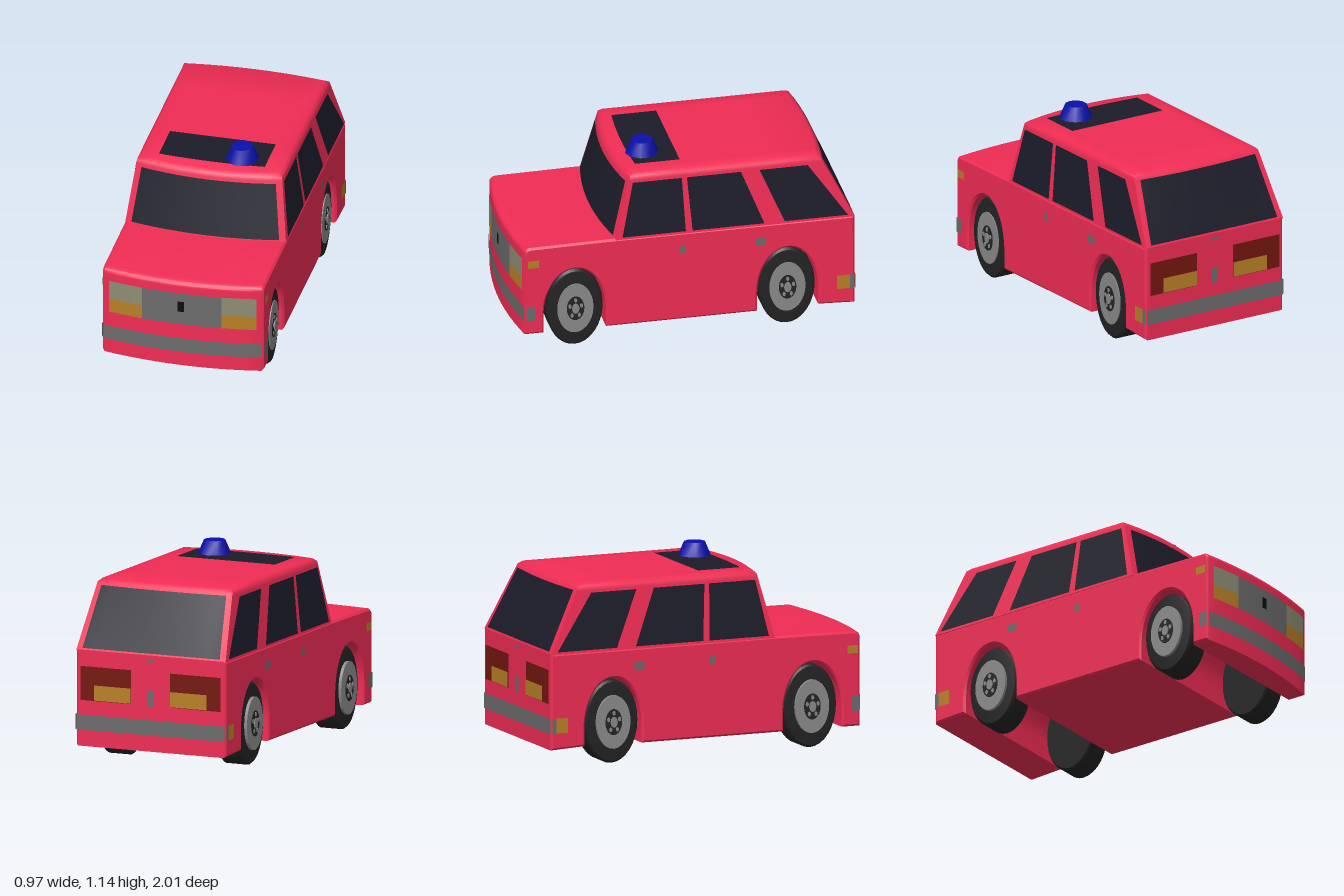
import * as THREE from 'three';
import { toCreasedNormals } from 'three/addons/utils/BufferGeometryUtils.js';

const mat = (color) => new THREE.MeshStandardMaterial({ color, side: THREE.DoubleSide });
const RED = mat(0xf02c54), GLASS = mat(0x1c1c2a), GREY = mat(0x6c6c6c), LAMP = mat(0x8d8d74);
const ORANGE = mat(0xb88026), TAIL = mat(0x74180e), BLACK = mat(0x0c0c0c), TYRE = mat(0x232323);
const RIM = mat(0x8a8a8a), BLUE = mat(0x0c10a8);

const W = 0.48, BASE = 0.665, ROOF = 1.06, LIFT = 0.004;

// Cabin surface rules; t runs from the waistline (0) to the roof (1), n across from -1 to 1
const level = (y) => (y - BASE) / (ROOF - BASE);
const halfWidth = (t) => 0.479 - 0.049 * t;
const frontZ = (n, t) => 0.47 - 0.1 * t - 0.055 * n * n;
const rearZ = (n, t) => -1 + 0.17 * t + 0.03 * t * n * n;
const noseZ = (x) => 1 - 0.05 * (x / W) ** 2;

// Mappings from flat panel coordinates to the outer surfaces
const onNose = (x, y) => [x, y, noseZ(x) + LIFT];
const onTail = (x, y) => [x, y, -1 - LIFT];
const onFlank = (s) => (z, y) => [s * (W + LIFT), y, z];
const onCabinSide = (s) => (z, y) => [s * (halfWidth(level(y)) + LIFT), y, z];
const onScreen = (x, y) => [x, y, frontZ(x / halfWidth(level(y)), level(y)) + LIFT];
const onRearScreen = (x, y) => [x, y, rearZ(x / halfWidth(level(y)), level(y)) - LIFT];
const onRoof = (x, z) => [x, ROOF + LIFT, z - 0.15 * x * x * (z > 0.1 ? 1 : 0)];

function add(parent, name, geometry, material) {
  const mesh = new THREE.Mesh(geometry, material);
  mesh.name = name;
  parent.add(mesh);
  return mesh;
}

// Thin panel: corners are bottom-left, bottom-right, top-right, top-left
function panel(parent, name, material, corners, map, lift = 0) {
  const [a, b, c, d] = corners;
  const g = new THREE.PlaneGeometry(1, 1, 12, 1);
  const p = g.attributes.position;
  for (let i = 0; i < p.count; i++) {
    const u = p.getX(i) + 0.5, v = p.getY(i) + 0.5;
    const at = (k) => (1 - v) * ((1 - u) * a[k] + u * b[k]) + v * ((1 - u) * d[k] + u * c[k]);
    const q = map(at(0), at(1));
    p.setXYZ(i, q[0], q[1], q[2] + lift);
  }
  g.computeVertexNormals();
  return add(parent, name, g, material);
}
const rect = (x0, x1, y0, y1) => [[x0, y0], [x1, y0], [x1, y1], [x0, y1]];

// Lower body: side profile with wheel arches, extruded across and bowed at the nose
function bodyGeometry() {
  const s = new THREE.Shape();
  s.moveTo(-1, 0.105);
  s.lineTo(-0.785, 0.115);
  s.absellipse(-0.605, 0.22, 0.18, 0.285, Math.PI, 0, true);
  s.lineTo(-0.425, 0.11);
  s.lineTo(0.47, 0.11);
  s.absellipse(0.655, 0.22, 0.185, 0.285, Math.PI, 0, true);
  s.lineTo(0.84, 0.11);
  s.lineTo(1, 0.11);
  s.lineTo(1, 0.63);
  s.quadraticCurveTo(1, 0.663, 0.95, 0.667);
  s.lineTo(0.47, 0.672);
  s.lineTo(-1, 0.67);
  const bevel = 0.012, depth = 2 * (W - bevel);
  const g = new THREE.ExtrudeGeometry(s, {
    depth, steps: 12, curveSegments: 14,
    bevelThickness: bevel, bevelSize: bevel, bevelOffset: -bevel, bevelSegments: 1,
  });
  g.translate(0, 0, -depth / 2).rotateY(-Math.PI / 2);
  const p = g.attributes.position;
  for (let i = 0; i < p.count; i++) {
    const z = p.getZ(i), k = THREE.MathUtils.clamp((z - 0.84) / 0.16, 0, 1);
    p.setZ(i, z + k * (noseZ(p.getX(i)) - 1));
  }
  return toCreasedNormals(g, 0.6);
}

// Cabin: tapering box with bowed ends and a chamfered roof edge
function cabinGeometry() {
  const g = new THREE.BoxGeometry(2, 3, 2, 12, 3, 4);
  const p = g.attributes.position, rows = [0, 0.9, 0.955, 1];
  for (let i = 0; i < p.count; i++) {
    const n = p.getX(i), t = rows[Math.round(p.getY(i) + 1.5)], w = (p.getZ(i) + 1) / 2;
    const inset = t === 1 ? 0.018 : 0;
    p.setXYZ(i, n * (halfWidth(t) - inset), BASE + t * (ROOF - BASE),
      THREE.MathUtils.lerp(rearZ(n, t) + inset, frontZ(n, t) - inset, w));
  }
  return toCreasedNormals(g, 0.9);
}

// Wheel: oval tyre with stacked rim and hub discs, outer face towards +x
function wheel(hubOut) {
  const group = new THREE.Group();
  group.name = 'wheel';
  const tyre = [[0, -0.08], [0.235, -0.08], [0.245, -0.07], [0.245, 0.06], [0.232, 0.075], [0.16, 0.08], [0, 0.08]]
    .map(([r, y]) => new THREE.Vector2(r, y));
  add(group, 'tyre', toCreasedNormals(new THREE.LatheGeometry(tyre, 32).rotateZ(-Math.PI / 2), 0.6), TYRE);
  const disc = (name, r, out, m, sides = 28) => add(group, name,
    new THREE.CylinderGeometry(r, r, 0.04, sides).rotateZ(-Math.PI / 2).translate(0.06 + out + hubOut, 0, 0), m);
  disc('rim', 0.157, 0.006, RIM);
  disc('hubPlate', 0.076, 0.01, TYRE);
  disc('hubCap', 0.032, 0.016, RIM, 12);
  for (let i = 0; i < 5; i++) {
    const a = (i / 5) * Math.PI * 2 + Math.PI / 2;
    disc('wheelNut', 0.014, 0.014, RIM, 8).position.set(0, 0.053 * Math.sin(a), 0.053 * Math.cos(a));
  }
  group.scale.z = 0.68;
  return group;
}

export function createModel() {
  const car = new THREE.Group();
  car.name = 'car';
  add(car, 'body', bodyGeometry(), RED);
  add(car, 'cabin', cabinGeometry(), RED);

  // Glass
  panel(car, 'windscreen', GLASS, [[-0.44, 0.68], [0.44, 0.68], [0.4, 1.005], [-0.4, 1.005]], onScreen);
  panel(car, 'rearWindow', GLASS, [[0.44, 0.68], [-0.44, 0.68], [-0.4, 1.025], [0.4, 1.025]], onRearScreen);
  panel(car, 'sunroof', GLASS, [[-0.315, 0.28], [0.315, 0.28], [0.315, 0], [-0.315, 0]], onRoof);

  // Nose
  panel(car, 'grille', GREY, rect(-0.235, 0.24, 0.385, 0.59), onNose);
  panel(car, 'grilleBadge', BLACK, rect(-0.02, 0.02, 0.47, 0.537), onNose, 0.003);
  panel(car, 'frontBumperStrip', GREY, rect(-0.47, 0.47, 0.2, 0.29), onNose);

  // Tail
  panel(car, 'rearBumperStrip', GREY, rect(0.475, -0.475, 0.2, 0.29), onTail);
  panel(car, 'rearLatch', GREY, rect(0.02, -0.02, 0.37, 0.465), onTail);
  panel(car, 'rearTrim', GREY, rect(0.02, -0.02, 0.63, 0.65), onTail);

  for (const s of [1, -1]) {
    // Lamps
    const inner = s > 0 ? 0.24 : 0.235;
    panel(car, 'headlight', LAMP, rect(...[s * inner, s * 0.44].sort((a, b) => a - b), 0.472, 0.59), onNose);
    panel(car, 'frontIndicator', ORANGE, rect(...[s * inner, s * 0.44].sort((a, b) => a - b), 0.385, 0.472), onNose);
    panel(car, 'tailLight', TAIL, rect(...[s * 0.125, s * 0.45].sort((a, b) => b - a), 0.375, 0.575), onTail);
    panel(car, 'rearIndicator', ORANGE, rect(...[s * 0.128, s * 0.36].sort((a, b) => b - a), 0.378, 0.467), onTail, -0.003);

    // Side windows
    const facing = (c) => (s < 0 ? [c[1], c[0], c[3], c[2]] : c);
    const side = (name, m, c, map = onFlank(s)) => panel(car, name, m, facing(c), map);
    side('frontSideWindow', GLASS, [[0.375, 0.68], [0, 0.68], [0.015, 1.008], [0.305, 1.008]], onCabinSide(s));
    side('rearSideWindow', GLASS, [[-0.04, 0.68], [-0.465, 0.68], [-0.335, 1.008], [-0.015, 1.008]], onCabinSide(s));
    side('cargoWindow', GLASS, [[-0.585, 0.68], [-0.96, 0.68], [-0.73, 1.008], [-0.445, 1.008]], onCabinSide(s));

    // Flank details
    side('frontDoorHandle', GREY, rect(0.04, 0, 0.54, 0.587));
    side('rearDoorHandle', GREY, rect(-0.412, -0.475, 0.54, 0.587));
    side('frontSideMarker', ORANGE, rect(0.935, 0.87, 0.54, 0.587));
    side('frontBumperEnd', GREY, rect(0.945, 0.893, 0.2, 0.29));
    side('rearSideMarker', ORANGE, rect(-0.895, -0.97, 0.205, 0.292));
    side('rearBumperEnd', GREY, rect(-0.97, -0.995, 0.2, 0.29));

    // Wheels
    for (const z of [0.65, -0.605]) {
      const w = wheel(s > 0 ? 0 : 0.012);
      w.position.set(s * 0.38, 0.245, z);
      if (s < 0) w.rotation.y = Math.PI;
      car.add(w);
    }
  }

  // Roof beacon
  const beacon = add(car, 'beacon', toCreasedNormals(new THREE.CylinderGeometry(0.063, 0.1, 0.085, 10), 0.7), BLUE);
  beacon.position.set(0.163, 1.1, 0.19);
  return car;
}
